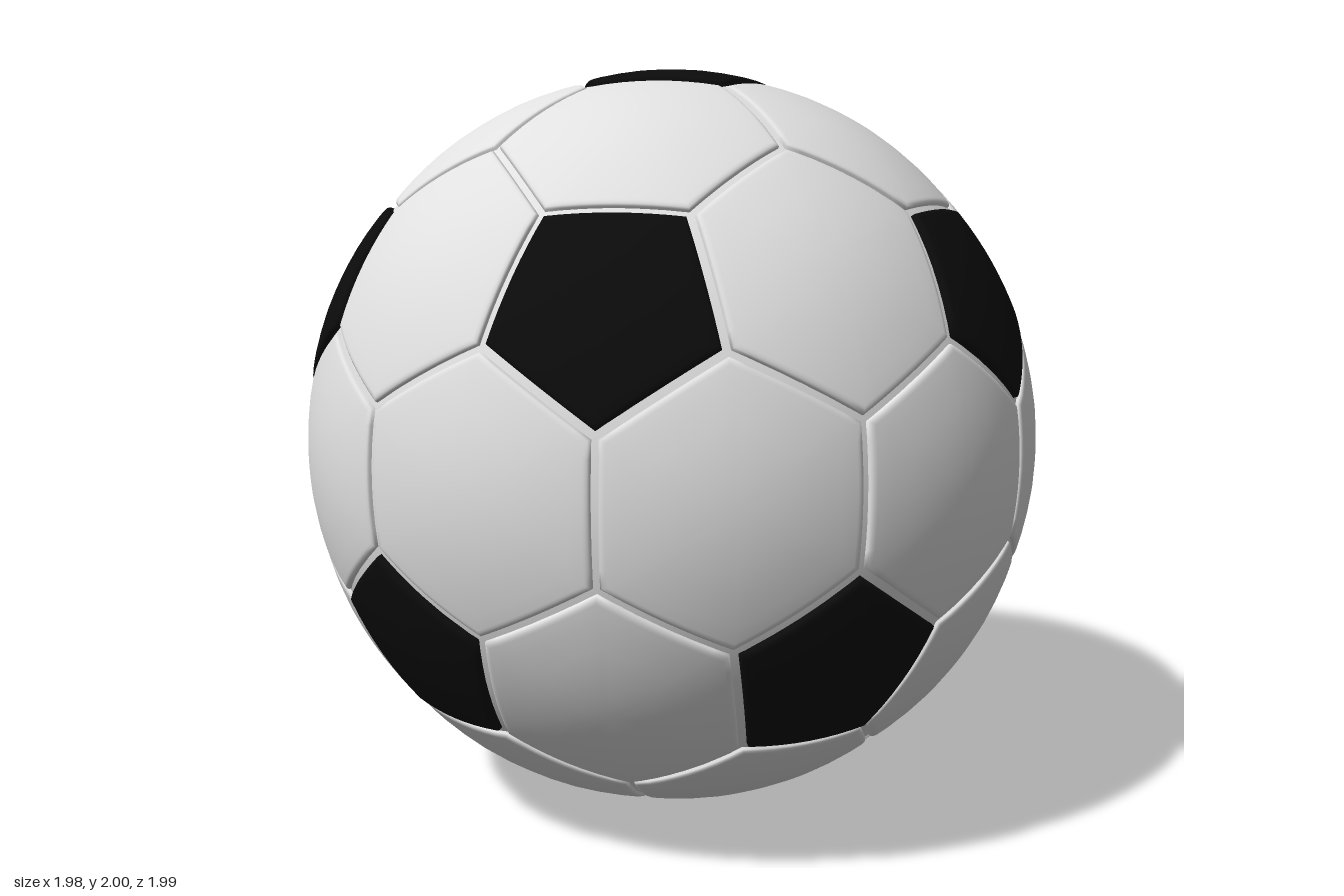
import * as THREE from 'three';
import { mergeGeometries } from 'three/addons/utils/BufferGeometryUtils.js';

const EDGE_STEPS = 8;
const CORNER_ANGLE = THREE.MathUtils.degToRad(17.3); // pentagon centre to its corner

// Twelve pentagon centres: two poles and two staggered rings of five
function pentCentres() {
  const list = [new THREE.Vector3(0, 1, 0), new THREE.Vector3(0, -1, 0)];
  const h = 1 / Math.sqrt(5), r = 2 / Math.sqrt(5);
  for (let k = 0; k < 5; k++) {
    const a = k * Math.PI * 2 / 5;
    list.push(new THREE.Vector3(r * Math.cos(a), h, r * Math.sin(a)));
    list.push(new THREE.Vector3(-r * Math.cos(a), -h, -r * Math.sin(a)));
  }
  return list;
}

// Point at the corner angle from p on the way to n
function cornerToward(p, n) {
  const side = n.clone().addScaledVector(p, -n.dot(p)).normalize();
  return p.clone().multiplyScalar(Math.cos(CORNER_ANGLE)).addScaledVector(side, Math.sin(CORNER_ANGLE));
}

// Corners in counter-clockwise order seen from outside
function sortAround(c, corners) {
  const u = corners[0].clone().addScaledVector(c, -corners[0].dot(c)).normalize();
  const v = c.clone().cross(u);
  const angle = (p) => Math.atan2(p.dot(v), p.dot(u));
  return [...corners].sort((a, b) => angle(a) - angle(b));
}

// Curved panel with a rounded rim that drops into the seam
function panel(c, corners, radius, gap) {
  const ring = sortAround(c, corners);
  const outline = [];
  let inner = 1;
  ring.forEach((a, i) => {
    const b = ring[(i + 1) % ring.length];
    inner = Math.min(inner, a.clone().lerp(b, 0.5).normalize().distanceTo(c));
    for (let m = 0; m < EDGE_STEPS; m++) outline.push(a.clone().lerp(b, m / EDGE_STEPS).normalize());
  });

  // [fraction from centre, drop below the panel surface]
  const at = (d) => 1 - (gap + d) / inner;
  const profile = [
    [0.2, 0], [0.4, 0], [0.6, 0.001], [0.8, 0.002], [at(0.02), 0.003], [at(0.014), 0.0035],
    [at(0.008), 0.005], [at(0.003), 0.009], [at(0), 0.03],
  ];
  const n = outline.length;
  const pos = [...c.clone().multiplyScalar(radius)];
  for (const [t, drop] of profile) {
    for (const p of outline) pos.push(...c.clone().lerp(p, t).normalize().multiplyScalar(radius - drop));
  }
  const index = [];
  for (let i = 0; i < n; i++) {
    const j = (i + 1) % n;
    index.push(0, 1 + i, 1 + j);
    for (let k = 0; k < profile.length - 1; k++) {
      const a = 1 + k * n, b = a + n;
      index.push(a + i, b + i, b + j, a + i, b + j, a + j);
    }
  }
  const g = new THREE.BufferGeometry();
  g.setAttribute('position', new THREE.Float32BufferAttribute(pos, 3));
  g.setIndex(index);
  g.computeVertexNormals();
  return g;
}

export function createModel() {
  const white = new THREE.MeshStandardMaterial({ color: 0xe0e0e0 });
  white.name = 'white leather';
  const black = new THREE.MeshStandardMaterial({ color: 0x0b0b0b });
  black.name = 'black leather';

  const centres = pentCentres();
  const near = (i, j) => i !== j && centres[i].dot(centres[j]) > 0.4;

  // Nodes where three hexagons meet, each between three pentagons
  const nodes = [];
  for (let i = 0; i < 12; i++) for (let j = i + 1; j < 12; j++) for (let k = j + 1; k < 12; k++) {
    if (near(i, j) && near(j, k) && near(i, k)) {
      const point = centres[i].clone().add(centres[j]).add(centres[k]).normalize();
      nodes.push({ point, around: [i, j, k] });
    }
  }

  // One pentagon per centre, one hexagon between each pair of neighbours
  const pents = [], hexes = [];
  for (let i = 0; i < 12; i++) {
    const own = nodes.filter((q) => q.around.includes(i));
    pents.push(panel(centres[i], own.map((q) => cornerToward(centres[i], q.point)), 1, 0.011));
    for (let j = i + 1; j < 12; j++) {
      if (!near(i, j)) continue;
      const corners = [];
      for (const q of own.filter((s) => s.around.includes(j))) {
        corners.push(q.point, cornerToward(centres[i], q.point), cornerToward(centres[j], q.point));
      }
      hexes.push(panel(centres[i].clone().add(centres[j]).normalize(), corners, 0.995, 0.006));
    }
  }

  const ball = new THREE.Group();
  ball.name = 'ball';
  const add = (name, geometry, material) => {
    const mesh = new THREE.Mesh(geometry, material);
    mesh.name = name;
    mesh.position.y = 1;
    ball.add(mesh);
  };
  add('pentagonPanels', mergeGeometries(pents), black);
  add('hexagonPanels', mergeGeometries(hexes), white);
  // Core closing the bottom of the seams
  add('seamCore', new THREE.SphereGeometry(0.98, 96, 64), white);
  return ball;
}
